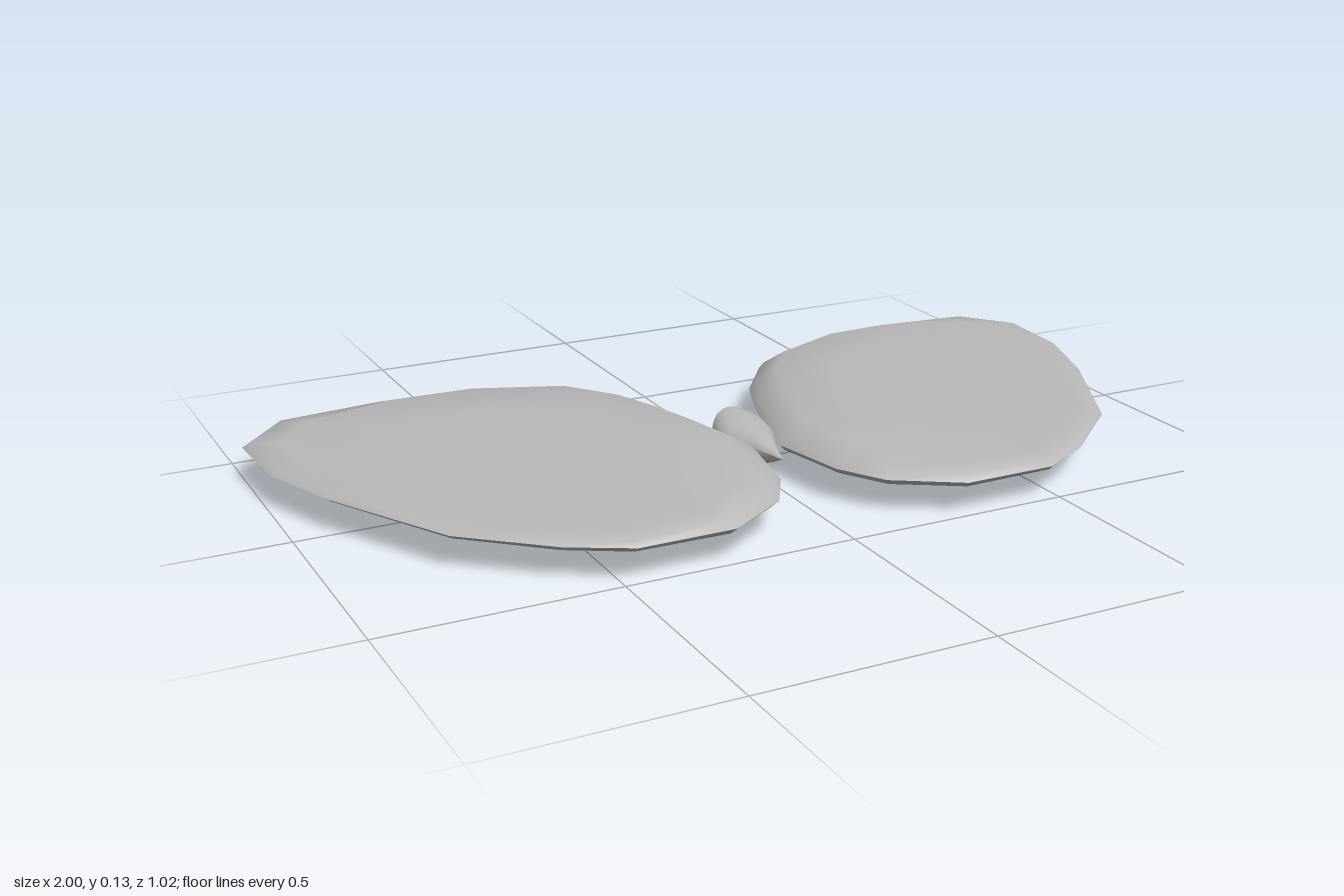
import * as THREE from 'three';
import { toCreasedNormals } from 'three/addons/utils/BufferGeometryUtils.js';

// Skin a stack of equal-length rings, closing both ends with a fan
function loft(rings, crease) {
  const n = rings[0].length, pos = [], idx = [];
  const centre = (ring) => ring.reduce((s, p) => s.add(p), new THREE.Vector3()).divideScalar(n);
  rings.forEach((ring) => ring.forEach((p) => pos.push(p.x, p.y, p.z)));
  const last = (rings.length - 1) * n, c0 = rings.length * n, c1 = c0 + 1;
  for (const p of [centre(rings[0]), centre(rings[rings.length - 1])]) pos.push(p.x, p.y, p.z);
  for (let i = 0; i < n; i++) {
    const j = (i + 1) % n;
    for (let r = 0; r < last; r += n) {
      idx.push(r + i, r + j, r + n + j, r + i, r + n + j, r + n + i);
    }
    idx.push(c0, j, i, c1, last + i, last + j);
  }
  const g = new THREE.BufferGeometry();
  g.setAttribute('position', new THREE.Float32BufferAttribute(pos, 3));
  g.setIndex(idx);
  return toCreasedNormals(g, crease);
}

// Wing outline as x, z, counterclockwise from above
const OUTLINE = [
  [0.66, -0.515], [0.46, -0.48], [0.245, -0.37], [0.15, -0.24], [0.10, -0.12],
  [0.065, -0.01], [0.03, 0.13], [0.065, 0.31], [0.125, 0.415], [0.265, 0.505],
  [0.475, 0.505], [0.60, 0.435], [0.77, 0.285], [0.925, -0.01], [0.99, -0.19],
  [1.0, -0.385], [0.90, -0.49],
];

const topY = (x, z) => Math.max(0.087, 0.117 - 0.055 * (x - 0.2) - 0.04 * z);

function wingGeometry(side) {
  // Each layer: scale of the outline and its height rule
  const layers = [
    [0.97, (x) => 0.06 + 0.01 * Math.max(0, x - 0.2)],
    [1, () => 0.075],
    [0.975, (x, z) => Math.min(0.09, topY(x, z) - 0.003)],
    [0.86, topY],
    [0.55, (x, z) => topY(x, z) + 0.001],
  ];
  const rings = layers.map(([s, height]) => {
    const ring = OUTLINE.map(([ox, oz]) => {
      const x = 0.52 + (ox - 0.52) * s, z = oz * s;
      return new THREE.Vector3(side * x, height(x, z), z);
    });
    return side > 0 ? ring : ring.reverse();
  });
  return loft(rings, 0.9);
}

function bodyGeometry() {
  // z, half width, top, bottom
  const stations = [
    [-0.025, 0.056, 0.112, 0], [0.01, 0.065, 0.113, 0.004], [0.05, 0.06, 0.106, 0.012],
    [0.09, 0.044, 0.099, 0.022], [0.13, 0.026, 0.09, 0.038], [0.17, 0.01, 0.08, 0.055],
    [0.198, 0.001, 0.071, 0.069],
  ];
  const rings = stations.map(([z, w, top, bottom], k) => {
    const mid = bottom + (top - bottom) * 0.56, blend = 1 - k / (stations.length - 1);
    return Array.from({ length: 20 }, (_, i) => {
      const a = (i / 20) * Math.PI * 2, s = Math.sin(a);
      const x = w * Math.cos(a);
      const y = mid + s * (s > 0 ? top - mid : mid - bottom);
      // lean the blunt end back and round it in plan
      const lean = blend * (-0.24 * y + 0.025 * (x / 0.065) ** 2);
      return new THREE.Vector3(x, y, z + lean);
    });
  });
  return loft(rings, 0.9);
}

export function createModel() {
  const model = new THREE.Group();
  const grey = new THREE.MeshStandardMaterial({ color: 0xb8b8b8 });
  grey.name = 'grey';

  const add = (name, geometry) => {
    const mesh = new THREE.Mesh(geometry, grey);
    mesh.name = name;
    model.add(mesh);
  };

  add('leftWing', wingGeometry(1));
  add('rightWing', wingGeometry(-1));
  add('body', bodyGeometry());
  return model;
}
